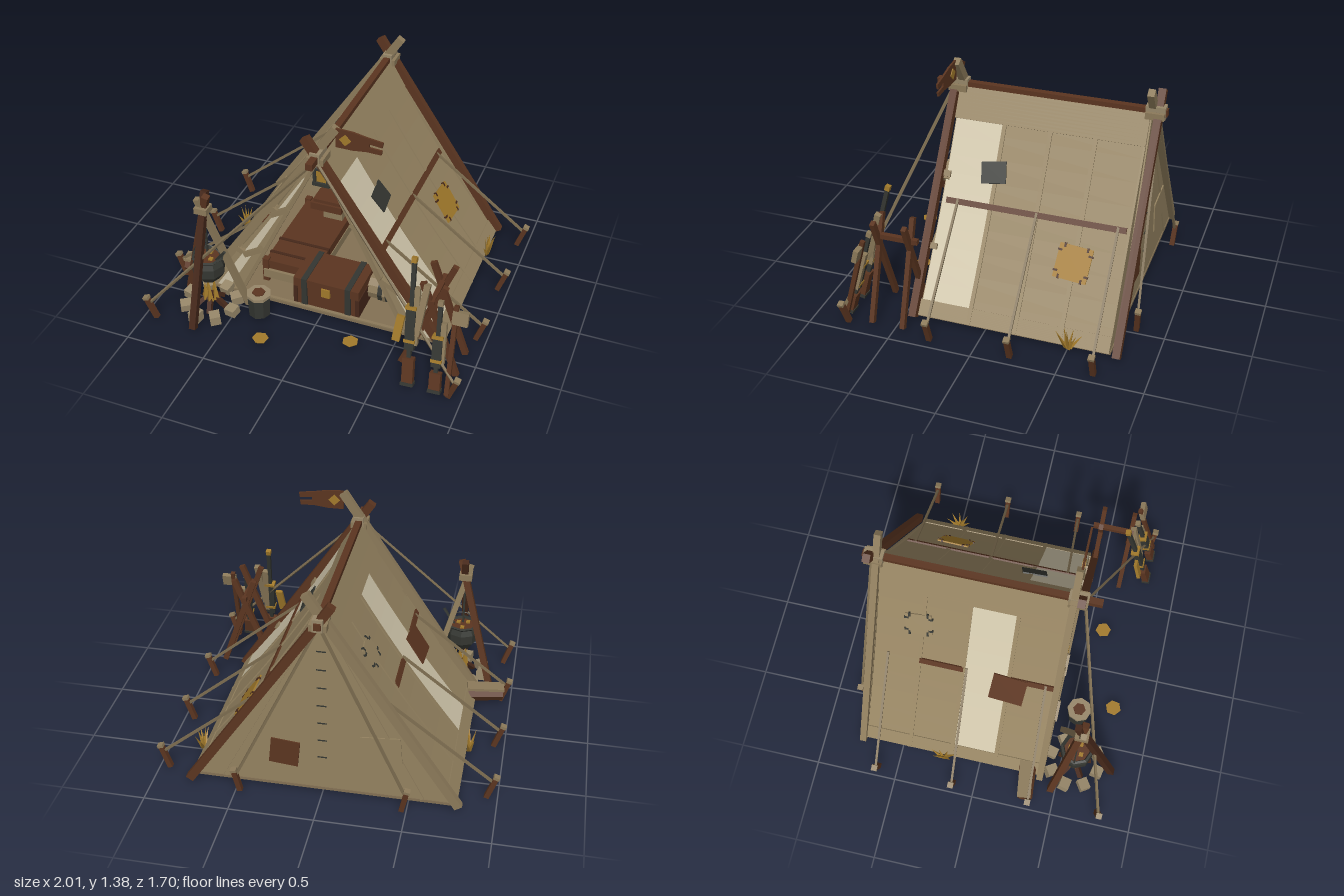
import * as THREE from 'three';

const mat = (name, color) => Object.assign(new THREE.MeshStandardMaterial({ color, side: THREE.DoubleSide, flatShading: true }), { name });
const M = {
  canvas: mat('canvas', 0x948260), pale: mat('pale canvas', 0xcec4a9), floor: mat('ground sheet', 0x837154),
  wood: mat('red brown wood', 0x5b3520), dark: mat('dark wood', 0x46281a), tan: mat('tan wood', 0x8c7a5a),
  rope: mat('rope', 0x7d6d50), iron: mat('charcoal', 0x343631), gold: mat('ochre', 0xa27a2b), stone: mat('stone', 0x978769),
};
const V = (x, y, z) => new THREE.Vector3(x, y, z);

function add(parent, name, geo, m, p = [0, 0, 0], r = [0, 0, 0]) {
  const mesh = new THREE.Mesh(geo, m);
  mesh.name = name;
  mesh.position.set(...p);
  mesh.rotation.set(...r);
  parent.add(mesh);
  return mesh;
}
const box = (g, name, m, size, p, r) => add(g, name, new THREE.BoxGeometry(...size), m, p, r);
const cyl = (g, name, m, r1, r2, h, n, p, r) => add(g, name, new THREE.CylinderGeometry(r1, r2, h, n), m, p, r);
// Square beam between two points
function beam(g, name, m, a, b, w = 0.04, d = w) {
  const A = V(...a), B = V(...b), dir = B.clone().sub(A);
  const mesh = box(g, name, m, [w, dir.length(), d], A.clone().add(B).multiplyScalar(0.5).toArray());
  mesh.quaternion.setFromUnitVectors(V(0, 1, 0), dir.normalize());
  return mesh;
}
function plate(g, name, m, pts, depth, p, r) {
  const s = new THREE.Shape(pts.map(q => new THREE.Vector2(...q)));
  return add(g, name, new THREE.ExtrudeGeometry(s, { depth, bevelEnabled: false }), m, p, r);
}
function group(parent, name, p = [0, 0, 0], r = [0, 0, 0]) {
  const g = new THREE.Group();
  g.name = name;
  g.position.set(...p);
  g.rotation.set(...r);
  parent.add(g);
  return g;
}

const APEX = 1.175, HALF = 0.77, BASE = 0.03, RISE = APEX - BASE;
const SLOPE = Math.hypot(HALF, RISE), ANGLE = Math.atan2(RISE, HALF);
const down = y => (APEX - y) / RISE * SLOPE; // distance down the roof at a height
const sag = s => -0.026 * Math.sin(Math.PI * s / SLOPE); // cloth hangs inward mid slope

// One roof slope: local x runs down the cloth, z along the ridge
function roofSide(root, side) {
  const g = group(root, side > 0 ? 'leftRoof' : 'rightRoof', [0, APEX, 0], [0, 0, side > 0 ? -ANGLE : Math.PI + ANGLE]);
  const slab = (name, m, s0, s1, z0, z1, t, off = 0) => {
    const geo = new THREE.BoxGeometry(s1 - s0, t, z1 - z0, 10).translate((s0 + s1) / 2, off * side, (z0 + z1) / 2);
    const p = geo.attributes.position;
    for (let i = 0; i < p.count; i++) p.setY(i, p.getY(i) + side * sag(p.getX(i)));
    add(g, name, geo, m);
  };
  slab('roofCloth', M.canvas, 0, SLOPE, -0.74, 0.4, 0.014);
  slab('ridgeBand', M.canvas, 0, 0.205, -0.745, 0.405, 0.03);
  slab('bottomHem', M.canvas, 1.285, SLOPE, -0.745, 0.405, 0.026);
  const pale = side > 0 ? [0.1, 0.395] : [-0.18, 0.09];
  slab('paleRoofPanel', M.pale, 0.205, 1.285, ...pale, 0.02);
  for (const z of [-0.455, -0.185, 0.095]) slab('roofSeam', M.canvas, 0.2, SLOPE, z - 0.012, z + 0.012, 0.03);
  for (const [z0, z1] of side > 0 ? [[-0.72, 0.37]] : [[-0.455, -0.185], [0.1, 0.37]])
    slab('sideRail', M.wood, down(0.617), down(0.588), z0, z1, 0.012, 0.012);
  for (const y of [0.73, 0.37]) slab('edgeTie', M.tan, down(y) - 0.018, down(y) + 0.018, 0.37, 0.415, 0.05);

  // Patches, some with stitches just inside the edge
  const patch = (m, y, z, len, wid, turn, stitch) => {
    const s = down(y), p = group(g, 'roofPatch', [s, (sag(s) + 0.017) * side, z], [0, turn, 0]);
    box(p, 'patchCloth', m, [len, 0.009, wid], [0, 0, 0]);
    if (stitch) for (const i of [-1, 1]) for (const j of [-1, 1]) {
      box(p, 'stitch', stitch, [0.026, 0.014, 0.012], [j * len * 0.46, 0, i * wid * 0.34]);
      box(p, 'stitch', stitch, [0.012, 0.014, 0.026], [i * len * 0.3, 0, j * wid * 0.46]);
    }
  };
  if (side > 0) {
    patch(M.iron, 0.77, 0.11, 0.13, 0.15, 0.15);
    patch(M.gold, 0.41, -0.45, 0.2, 0.2, -0.08, M.dark);
  } else {
    patch(M.wood, 0.54, 0.1, 0.19, 0.21, 0.08);
    patch(M.canvas, 0.83, -0.48, 0.14, 0.16, -0.1, M.iron);
  }
}

function stake(root, x, z, lx, lz) {
  const g = group(root, 'stake');
  beam(g, 'stakeShaft', M.wood, [x - lx * 0.03, 0.005, z - lz * 0.03], [x + lx * 0.02, 0.15, z + lz * 0.02], 0.03);
  beam(g, 'stakeHead', M.tan, [x + lx * 0.018, 0.145, z + lz * 0.018], [x + lx * 0.024, 0.162, z + lz * 0.024], 0.036);
}
function guyRope(root, from, x, z, lx, lz) {
  beam(root, 'guyRope', M.rope, from, [x, 0.12, z], 0.014);
  stake(root, x, z, lx, lz);
}

function tent(root) {
  box(root, 'groundSheet', M.floor, [1.52, 0.018, 1.16], [0, 0.025, -0.17]);
  box(root, 'doorSill', M.tan, [1.3, 0.012, 0.02], [0, 0.038, 0.4]);
  for (const s of [1, -1]) roofSide(root, s);
  beam(root, 'ridgePole', M.wood, [0, 1.18, -0.84], [0, 1.18, 0.55], 0.04);

  // Crossed end poles and lashings
  for (const [zl, zr, top] of [[0.39, 0.435, 0.1], [-0.755, -0.79, 0.08]]) {
    const k = RISE / HALF;
    beam(root, 'paleEndPole', M.tan, [-0.79, 0.02, zl], [top, APEX + 0.01 + top * k * 1.2, zl], 0.05, 0.04);
    beam(root, 'brownEndPole', M.wood, [0.785, 0.02, zr], [-0.07, APEX + 0.01 + 0.07 * k, zr], 0.05, 0.045);
    box(root, 'lashing', M.tan, [0.1, 0.04, 0.11], [0, 1.165, (zl + zr) / 2]);
    box(root, 'lashing', M.stone, [0.06, 0.075, 0.115], [0, 1.18, (zl + zr) / 2]);
  }
  // Back wall, seam and patches
  plate(root, 'backWall', M.canvas, [[-HALF, BASE], [HALF, BASE], [0, APEX]], 0.012, [0, 0, -0.745]);
  for (let i = 0; i < 7; i++) box(root, 'seamStitch', M.iron, [0.055, 0.007, 0.018], [0, 0.25 + i * 0.12, -0.739]);
  for (const s of [1, -1]) beam(root, 'wallSeam', M.canvas, [s * 0.58, 0.035, -0.748], [s * 0.02, 1.13, -0.748], 0.022, 0.012);
  box(root, 'wallPatch', M.wood, [0.17, 0.17, 0.008], [0.22, 0.26, -0.752], [0, 0, 0.1]);
  box(root, 'wallPatch', M.canvas, [0.23, 0.2, 0.008], [-0.34, 0.34, -0.752], [0, 0, -0.08]);

  // Door flaps folded back to the poles
  for (const s of [1, -1]) {
    const tri = (name, m, inner, outer, z) => plate(root, name, m, [[s * inner, BASE], [s * outer, BASE], [0, APEX - 0.03]], 0.008, [0, 0, z]);
    tri('doorFlap', M.canvas, 0.54, 0.75, 0.38);
    tri('flapLining', M.pale, 0.62, 0.7, 0.389);
    beam(root, 'flapRoll', M.tan, [s * 0.53, 0.04, 0.395], [s * 0.03, 1.09, 0.395], 0.022);
    for (const y of [0.37, 0.72]) {
      const x = (APEX - y) / RISE * 0.62 * s;
      box(root, 'flapTie', M.tan, [0.13, 0.03, 0.05], [x, y, 0.4], [0, 0, s * -0.55]);
    }
  }
  // Guy ropes and stakes
  for (const s of [1, -1]) {
    guyRope(root, [0, 1.16, 0.45], s * 0.95, 0.79, s, 0.3);
    guyRope(root, [0, 1.16, -0.79], s * 0.49, -0.835, s * 0.6, -0.2);
    for (const z of [0.3, -0.185, -0.67]) {
      const zz = z + (s > 0 ? 0 : 0.02);
      guyRope(root, [s * 0.365, 0.605, zz], s * 0.965, zz + s * -0.03, s, 0);
    }
  }
  // Swallowtail pennant
  plate(root, 'pennant', M.wood, [[0.1, 1.25], [0.2, 1.25], [0.28, 1.26], [0.365, 1.258], [0.37, 1.285], [0.295, 1.29], [0.295, 1.313], [0.37, 1.305], [0.375, 1.337], [0.28, 1.35], [0.2, 1.365], [0.1, 1.37]], 0.012, [0, 0, 0.394]);
  box(root, 'pennantDiamond', M.gold, [0.05, 0.05, 0.02], [0.157, 1.307, 0.4], [0, 0, Math.PI / 4]);
  // Hanging lantern
  const l = group(root, 'lantern', [0, 1.015, 0.34]);
  box(l, 'lanternGlass', M.gold, [0.062, 0.085, 0.062], [0, -0.01, 0]);
  box(l, 'lanternBase', M.iron, [0.105, 0.022, 0.09], [0, -0.06, 0]);
  box(l, 'lanternCap', M.iron, [0.105, 0.02, 0.09], [0, 0.043, 0]);
  cyl(l, 'lanternRoof', M.iron, 0.025, 0.068, 0.035, 4, [0, 0.07, 0], [0, Math.PI / 4, 0]);
  for (const x of [-1, 1]) for (const z of [-1, 1]) box(l, 'lanternPost', M.iron, [0.016, 0.1, 0.016], [x * 0.04, -0.01, z * 0.034]);
  cyl(l, 'lanternHanger', M.iron, 0.008, 0.008, 0.08, 5, [0, 0.12, 0]);
}

function furnishings(root) {
  // Strapped trunk
  const t = group(root, 'trunk', [0.025, 0.035, 0.25]);
  box(t, 'trunkBody', M.wood, [0.4, 0.13, 0.26], [0, 0.065, 0]);
  box(t, 'trunkLid', M.wood, [0.42, 0.06, 0.28], [0, 0.168, 0]);
  for (const x of [-0.14, 0.14]) box(t, 'trunkStrap', M.iron, [0.035, 0.203, 0.29], [x, 0.102, 0]);
  for (const x of [-0.2, 0.2]) box(t, 'trunkCorner', M.dark, [0.025, 0.13, 0.275], [x, 0.066, 0]);
  box(t, 'trunkClasp', M.gold, [0.055, 0.06, 0.3], [0, 0.135, 0]);
  // Low bed with folded blanket and pillow
  const b = group(root, 'bed', [-0.27, 0, -0.1]);
  box(b, 'bedFrame', M.tan, [0.34, 0.06, 0.74], [0, 0.1, 0]);
  box(b, 'blanket', M.wood, [0.33, 0.06, 0.7], [0, 0.16, 0]);
  for (const z of [0.12, 0.26]) box(b, 'blanketFold', M.dark, [0.34, 0.07, 0.02], [0, 0.16, z]);
  for (const x of [-0.16, 0.16]) for (const z of [-0.34, 0.34]) box(b, 'bedLeg', M.wood, [0.04, 0.17, 0.04], [x, 0.115, z]);
  box(b, 'headRest', M.tan, [0.13, 0.1, 0.12], [0.07, 0.235, -0.25]);
  box(b, 'pillow', M.wood, [0.21, 0.05, 0.17], [0.04, 0.295, -0.23]);
  box(b, 'pillowTop', M.wood, [0.18, 0.025, 0.14], [0.04, 0.33, -0.23]);
  // Bedroll
  const r = group(root, 'bedroll', [0.4, 0.125, 0.16], [0, 0, -Math.PI / 2]);
  cyl(r, 'rolledBlanket', M.iron, 0.085, 0.085, 0.27, 10, [0, 0.035, 0]);
  cyl(r, 'rollEnd', M.tan, 0.078, 0.078, 0.36, 10, [0, 0, 0]);
  for (const y of [-0.06, 0.12]) cyl(r, 'rollStrap', M.tan, 0.089, 0.089, 0.018, 10, [0, y, 0]);
}

function camp(root) {
  // Tripod over the fire
  const g = group(root, 'cookingTripod'), X = -0.65, Z = 0.58;
  beam(g, 'tripodLeg', M.dark, [-0.655, 0.03, 0.82], [-0.645, 0.87, 0.56], 0.04);
  beam(g, 'tripodLeg', M.wood, [-0.85, 0.03, 0.47], [-0.62, 0.86, 0.6], 0.04);
  beam(g, 'tripodLeg', M.tan, [-0.45, 0.01, 0.47], [-0.68, 0.83, 0.6], 0.035);
  box(g, 'tripodLashing', M.tan, [0.08, 0.04, 0.08], [X, 0.76, 0.59]);
  beam(g, 'potChain', M.iron, [X, 0.42, Z], [X, 0.76, Z], 0.012);
  const pot = [[0, 0.24], [0.065, 0.25], [0.1, 0.3], [0.1, 0.36], [0.085, 0.395], [0.1, 0.41], [0.085, 0.415], [0.075, 0.385], [0, 0.385]];
  add(g, 'cauldron', new THREE.LatheGeometry(pot.map(p => new THREE.Vector2(...p)), 8), M.iron, [X, 0, Z]);
  cyl(g, 'stew', M.wood, 0.078, 0.078, 0.01, 8, [X, 0.395, Z]);
  for (const [x, z] of [[0.03, 0.02], [-0.03, 0.03], [0, -0.04]]) box(g, 'stewPiece', M.gold, [0.025, 0.02, 0.025], [X + x, 0.4, Z + z]);
  add(g, 'potHandle', new THREE.TorusGeometry(0.093, 0.004, 4, 10, Math.PI), M.iron, [X, 0.4, Z]);
  beam(g, 'ladle', M.iron, [X + 0.03, 0.36, Z], [X + 0.13, 0.49, Z + 0.03], 0.014);
  // Fire ring, logs and flames
  for (let i = 0; i < 8; i++) {
    const a = i * Math.PI / 4 + 0.2;
    box(g, 'fireStone', M.stone, [0.07, 0.05 + 0.01 * (i % 3), 0.064], [X + 0.155 * Math.cos(a), 0.05, Z + 0.155 * Math.sin(a)], [0.15, -a, 0.1]);
  }
  for (let i = 0; i < 5; i++) {
    const a = i * Math.PI * 0.4;
    beam(g, 'fireLog', M.dark, [X + 0.1 * Math.cos(a), 0.035, Z + 0.1 * Math.sin(a)], [X, 0.12, Z], 0.028);
    cyl(g, 'flame', M.gold, 0, 0.024, 0.13, 4, [X + 0.032 * Math.cos(a), 0.15, Z + 0.032 * Math.sin(a)]);
  }
  // Stool, split log bench and fallen leaves
  cyl(root, 'stool', M.iron, 0.072, 0.066, 0.14, 8, [-0.345, 0.1, 0.545]);
  cyl(root, 'stoolTop', M.stone, 0.076, 0.076, 0.02, 8, [-0.345, 0.175, 0.545]);
  cyl(root, 'stoolKnot', M.wood, 0.04, 0.04, 0.008, 6, [-0.345, 0.188, 0.545]);
  const bench = group(root, 'splitLog', [-0.84, 0.07, 0.315], [0, 0.13, 0]);
  cyl(bench, 'logBark', M.wood, 0.045, 0.055, 0.22, 6, [0, 0, 0], [0, 0, Math.PI / 2]);
  box(bench, 'logTop', M.tan, [0.23, 0.018, 0.085], [0, 0.052, -0.008]);
  for (const [x, z] of [[0.26, 0.59], [-0.245, 0.755]]) cyl(root, 'fallenLeaf', M.gold, 0.05, 0.045, 0.008, 6, [x, 0.03, z], [0, x * 5, 0]);
  // Grass tufts, blades fanned from one root
  for (const [x, z] of [[0.785, -0.51], [-0.795, -0.23]])
    for (let i = 0; i < 7; i++) {
      const k = i - 3, lean = Math.sign(x) * (i % 2 ? 0.035 : -0.01);
      const h = 0.15 - 0.012 * Math.abs(k);
      const blade = cyl(root, 'grassBlade', M.gold, 0, 0.014, h, 3, [x + lean / 2, 0.02 + h / 2, z + 0.016 * k]);
      blade.quaternion.setFromUnitVectors(V(0, 1, 0), V(lean, h, 0.026 * k).normalize());
    }
}

function rack(root) {
  // Two crossed trestles joined by a bar
  const g = group(root, 'weaponRack');
  for (const z of [0.44, 0.63]) {
    beam(g, 'trestleLeg', M.wood, [0.59, 0.03, z], [0.83, 0.65, z], 0.035, 0.028);
    beam(g, 'trestleLeg', M.wood, [0.92, 0.03, z], [0.7, 0.65, z], 0.035, 0.028);
  }
  beam(g, 'rackBar', M.wood, [0.76, 0.53, 0.39], [0.76, 0.53, 0.65], 0.03);
  // Leaning long tools: stock, grip, metal body and tip along one axis
  const tool = (name, a, b, tip) => {
    const dir = V(...b).sub(V(...a)), t = group(g, name, a), L = dir.length();
    t.quaternion.setFromUnitVectors(V(0, 1, 0), dir.normalize());
    box(t, 'stock', M.wood, [0.065, L * 0.22, 0.04], [0, L * 0.11, 0]);
    box(t, 'stockPlate', M.iron, [0.075, 0.02, 0.05], [0, 0.01, 0]);
    box(t, 'body', M.iron, [0.055, L * 0.34, 0.04], [0, L * 0.46, 0]);
    box(t, 'grip', M.tan, [0.035, L * 0.45, 0.03], [0.025, L * 0.55, -0.008]);
    box(t, 'barrel', M.iron, [0.024, L * 0.75, 0.024], [0, L * 0.6, 0]);
    for (const f of [0.36, 0.62]) box(t, 'band', M.gold, [0.064, 0.018, 0.05], [0, L * f, 0]);
    box(t, 'tip', tip, [0.03, 0.03, 0.03], [0, L * 0.985, 0]);
  };
  tool('longTool', [0.685, 0.03, 0.8], [0.64, 0.79, 0.61], M.gold);
  tool('shortTool', [0.845, 0.03, 0.8], [0.815, 0.57, 0.66], M.tan);
  beam(g, 'malletHandle', M.wood, [0.915, 0.03, 0.8], [0.905, 0.57, 0.66], 0.026);
  box(g, 'malletHead', M.tan, [0.09, 0.08, 0.03], [0.935, 0.505, 0.68], [-0.25, 0, 0]);
  beam(g, 'leaningStaff', M.tan, [0.7, 0.34, 0.72], [0.73, 0.65, 0.64], 0.035);
  box(g, 'pouch', M.gold, [0.045, 0.16, 0.02], [0.595, 0.36, 0.72], [-0.25, 0, -0.1]);
}

export function createModel() {
  const root = new THREE.Group();
  root.name = 'campsite';
  tent(root);
  furnishings(root);
  camp(root);
  rack(root);
  return root;
}
